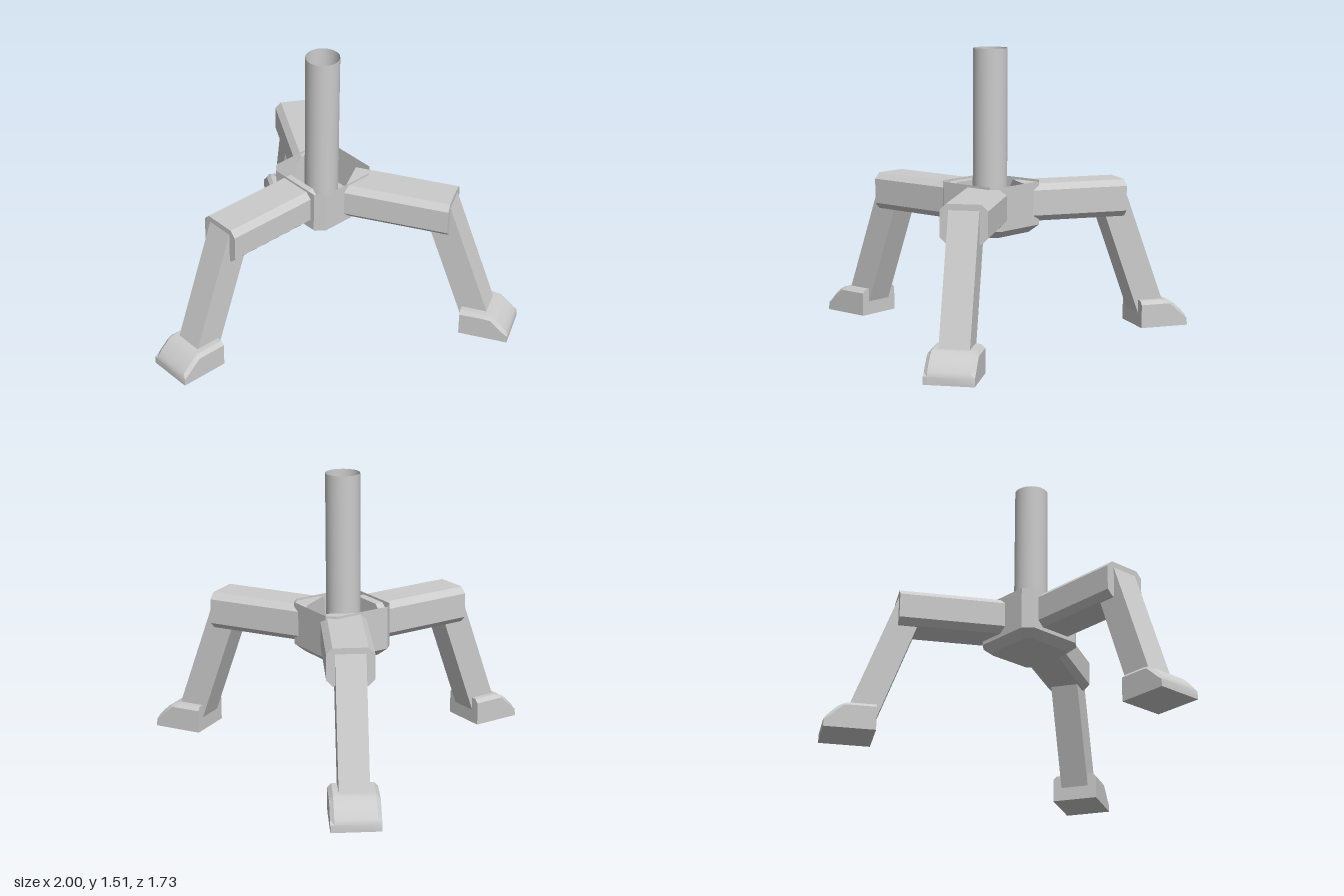
import * as THREE from 'three';
import { toCreasedNormals } from 'three/addons/utils/BufferGeometryUtils.js';

const CENTER_Z = -0.22;
const solid = new THREE.MeshStandardMaterial({ color: 0xcccccc });
const open = new THREE.MeshStandardMaterial({ color: 0xcccccc, side: THREE.DoubleSide });

function part(name, geometry, material = solid) {
  const mesh = new THREE.Mesh(geometry, material);
  mesh.name = name;
  return mesh;
}

// Rectangle with cut corners, counter-clockwise
function cutRect(hx, hy, c) {
  return [[hx, -hy + c], [hx, hy - c], [hx - c, hy], [-hx + c, hy],
    [-hx, hy - c], [-hx, -hy + c], [-hx + c, -hy], [hx - c, -hy]];
}

function prism(points, depth) {
  const shape = new THREE.Shape(points.map(([x, y]) => new THREE.Vector2(x, y)));
  return new THREE.ExtrudeGeometry(shape, { depth, bevelEnabled: false });
}

// Skin convex rings of equal point count, each counter-clockwise seen from the last ring
function loft(rings, capEnd, crease) {
  const n = rings[0].length;
  const index = [];
  for (let r = 0; r < rings.length - 1; r++) {
    for (let i = 0; i < n; i++) {
      const a = r * n + i, b = r * n + (i + 1) % n;
      index.push(a, b, b + n, a, b + n, a + n);
    }
  }
  const last = (rings.length - 1) * n;
  for (let i = 1; i < n - 1; i++) {
    index.push(0, i + 1, i);
    if (capEnd) index.push(last, last + i, last + i + 1);
  }
  const geometry = new THREE.BufferGeometry();
  geometry.setAttribute('position', new THREE.Float32BufferAttribute(rings.flat(2), 3));
  geometry.setIndex(index);
  return toCreasedNormals(geometry, crease);
}

// Hollow hub, open at the top, with a chamfered bottom
function hubGeometry() {
  const ring = (hx, hz, c, y) => cutRect(hx, hz, c).map(([x, z]) => [x, y, -z]);
  return loft([
    ring(0.15, 0.155, 0.03, 0.55),
    ring(0.195, 0.2, 0.045, 0.59),
    ring(0.195, 0.2, 0.045, 0.818),
  ], false, 0.1);
}

// Foot: rounded toe, chamfered along both upper side edges
function footGeometry() {
  const outer = [[0, 0], [0, 0.145], [0.13, 0.145], [0.165, 0.14], [0.195, 0.122],
    [0.235, 0.085], [0.258, 0.06], [0.268, 0.04], [0.268, 0]];
  const inner = [[0, 0], [0, 0.125], [0.13, 0.125], [0.15, 0.125], [0.168, 0.122],
    [0.21, 0.085], [0.24, 0.057], [0.265, 0.04], [0.268, 0]];
  const ring = (profile, x) => profile.map(([z, y]) => [x, y, z + 0.815]);
  return loft([ring(inner, -0.125), ring(outer, -0.105), ring(outer, 0.105), ring(inner, 0.125)], true, 0.55);
}

// One arm, slanted leg and foot, reaching out along +z
function createLeg() {
  const leg = new THREE.Group();

  const arm = prism(cutRect(0.12, 0.098, 0.032), 0.565);
  arm.translate(0, 0.708, 0.155);
  leg.add(part('arm', arm));

  const strut = prism([[0.56, 0.775], [0.82, 0.06], [0.983, 0.06], [0.72, 0.775]], 0.153);
  strut.rotateY(-Math.PI / 2);
  strut.translate(0.0765, 0, 0);
  leg.add(part('strut', strut));

  leg.add(part('foot', footGeometry()));
  return leg;
}

export function createModel() {
  const model = new THREE.Group();
  model.name = 'tripodStand';

  const hub = part('hub', hubGeometry(), open);
  hub.position.set(-0.004, 0, CENTER_Z);
  model.add(hub);

  // Open tube standing in the hub
  const post = part('post', new THREE.CylinderGeometry(0.09, 0.09, 0.95, 32, 1, true), open);
  post.position.set(-0.005, 1.035, -0.211);
  model.add(post);

  ['frontLeg', 'leftLeg', 'rightLeg'].forEach((name, i) => {
    const leg = createLeg();
    leg.name = name;
    leg.position.z = CENTER_Z;
    leg.rotation.y = i * Math.PI * 2 / 3;
    model.add(leg);
  });

  return model;
}
